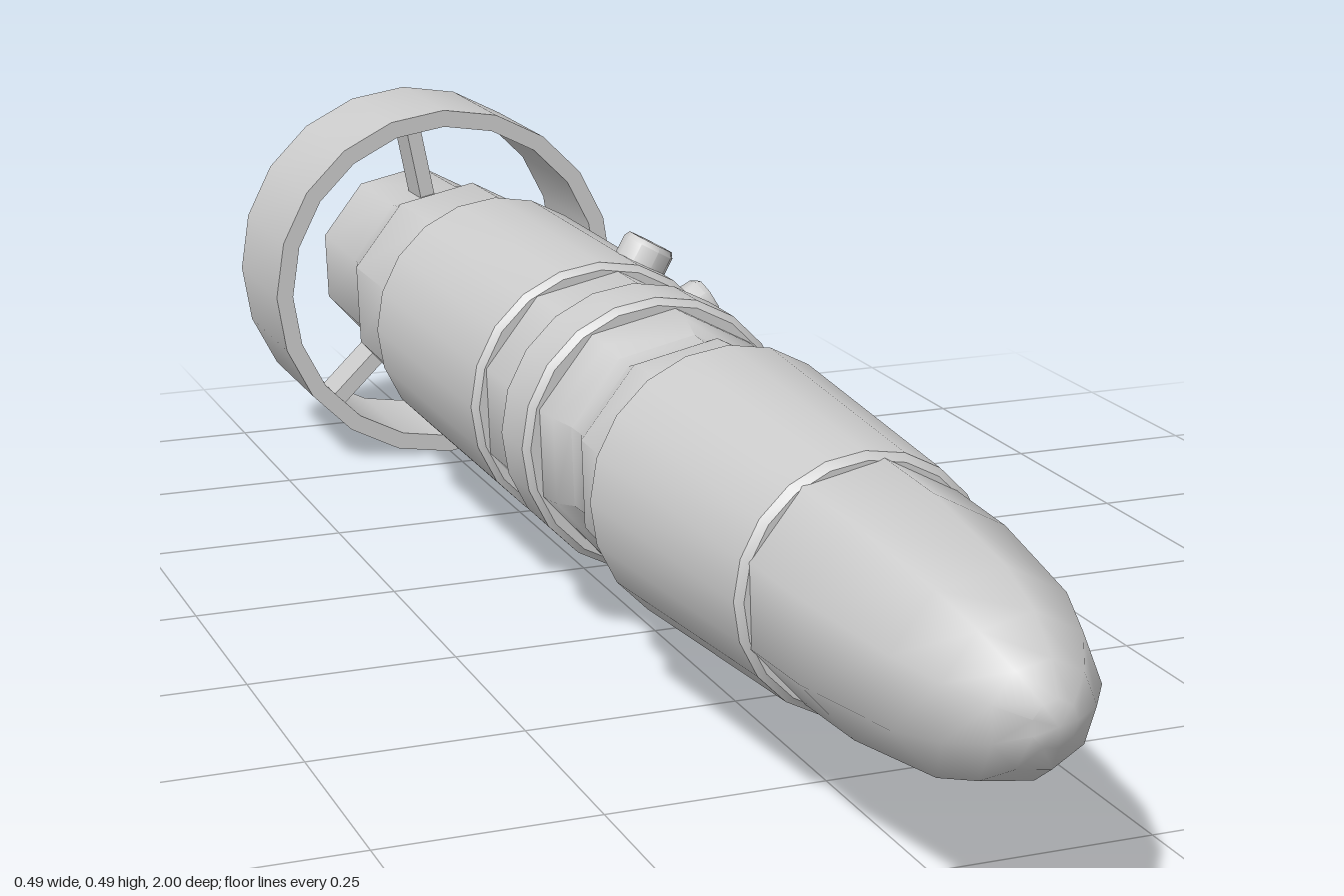
import * as THREE from 'three';
import { toCreasedNormals } from 'three/addons/utils/BufferGeometryUtils.js';

const AXIS_Y = 0.245;
const rad = THREE.MathUtils.degToRad;

export function createModel() {
  const model = new THREE.Group();
  const material = new THREE.MeshStandardMaterial({ color: 0xcccccc });

  // Profile of [radius, z] pairs, from back to front, turned about the long axis.
  function turned(name, profile, sides, startDeg = 0, crease = 0.74) {
    const pts = profile.map(([r, z]) => new THREE.Vector2(r, z));
    let geo = new THREE.LatheGeometry(pts, sides, rad(startDeg));
    geo.rotateX(Math.PI / 2);
    geo = toCreasedNormals(geo, crease);
    const mesh = new THREE.Mesh(geo, material);
    mesh.name = name;
    mesh.position.y = AXIS_Y;
    model.add(mesh);
  }

  // Chamfered collar around the core, from zBack to zFront
  function collar(name, zBack, rBack, zFront, rFront) {
    const c = 0.008;
    turned(name, [
      [0.12, zBack], [rBack - c, zBack], [rBack, zBack + c],
      [rFront, zFront - c], [rFront - c, zFront], [0.12, zFront],
    ], 20, 0, 0.6);
  }

  // Nine-sided core: open tail cup, necks, waist and pointed nose
  turned('coreAndNose', [
    [0, -0.94], [0.115, -0.94], [0.115, -0.985], [0.132, -0.985],
    [0.135, -0.82], [0.14, -0.79], [0.154, -0.75], [0.156, -0.6],
    [0.156, -0.06], [0.154, 0.02], [0.15, 0.045], [0.138, 0.075], [0.137, 0.105],
    [0.15, 0.14], [0.153, 0.2], [0.14, 0.5], [0.135, 0.59],
    [0.131, 0.7], [0.108, 0.86], [0.085, 0.925], [0.055, 0.97],
    [0.024, 0.993], [0, 1],
  ], 9, 92);

  collar('frontSleeve', 0.215, 0.163, 0.59, 0.142);
  collar('middleBand', -0.08, 0.166, 0.01, 0.166);
  collar('rearSleeve', -0.595, 0.166, -0.18, 0.166);

  // Tail ring
  turned('tailRing', [
    [0.222, -1], [0.245, -1], [0.245, -0.805], [0.222, -0.805], [0.222, -1],
  ], 20, 0, 0.6);

  // Three struts joining the core to the tail ring
  for (const deg of [101, 224, 346]) {
    const strut = new THREE.Group();
    strut.name = 'tailStrut';
    const bar = new THREE.Mesh(new THREE.BoxGeometry(0.12, 0.02, 0.06), material);
    bar.name = 'strutBar';
    bar.position.set(0.17, 0, -0.84);
    strut.add(bar);
    strut.position.y = AXIS_Y;
    strut.rotation.z = rad(deg);
    model.add(strut);
  }

  // Two round buttons with recessed tops on the rear sleeve
  const buttonProfile = [
    [0.034, 0.14], [0.034, 0.186], [0.03, 0.193], [0.023, 0.193], [0.021, 0.183], [0, 0.183],
  ].map(([r, y]) => new THREE.Vector2(r, y));
  const buttonGeo = toCreasedNormals(new THREE.LatheGeometry(buttonProfile, 9), 0.74);
  for (const deg of [61, 27]) {
    const button = new THREE.Mesh(buttonGeo, material);
    button.name = 'button';
    button.position.set(0, AXIS_Y, -0.255);
    button.rotation.z = rad(deg - 90);
    model.add(button);
  }

  return model;
}
